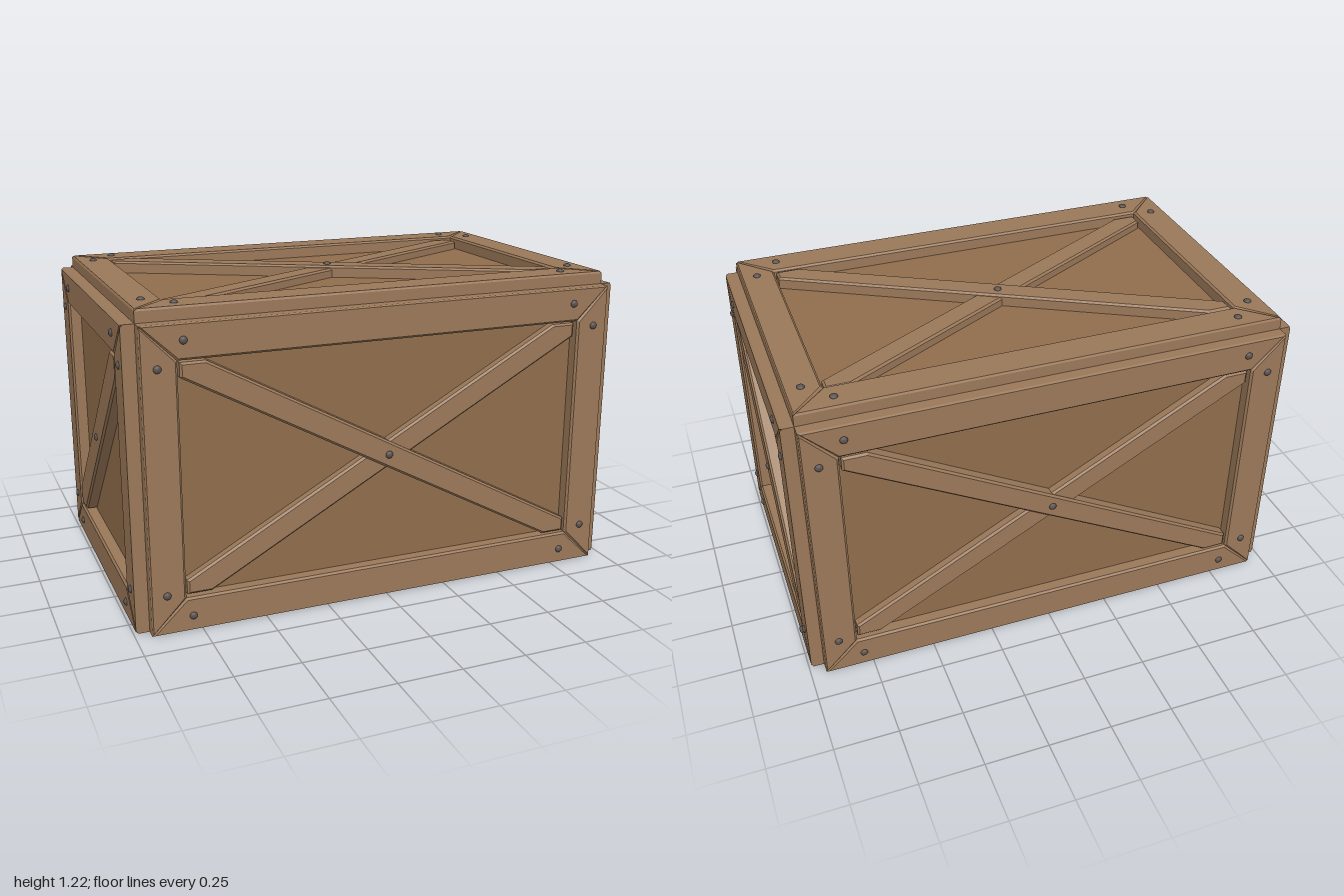
import * as THREE from 'three';

const frameMat = new THREE.MeshStandardMaterial({ color: 0x9a7859 });
const panelMat = new THREE.MeshStandardMaterial({ color: 0x906d4c });
const boltMat = new THREE.MeshStandardMaterial({ color: 0x5a5350 });

const W = 0.94, H = 0.58, D = 0.58; // half sizes of the inner box
const BOARD = 0.132, THICK = 0.05, BEVEL = 0.008;

// Bevelled board from an outline; it rises from z = 0 and its lower bevel sinks into the box
function board(name, points, height) {
  const shape = new THREE.Shape(points.map(([x, y]) => new THREE.Vector2(x, y)));
  const geo = new THREE.ExtrudeGeometry(shape, {
    depth: height - BEVEL, bevelThickness: BEVEL, bevelSize: BEVEL,
    bevelOffset: -BEVEL, bevelSegments: 1,
  });
  const mesh = new THREE.Mesh(geo, frameMat);
  mesh.name = name;
  return mesh;
}

// Domed bolt head
const boltGeo = new THREE.SphereGeometry(0.015, 12, 4, 0, Math.PI * 2, 0, Math.PI / 2)
  .rotateX(Math.PI / 2).scale(1, 1, 0.66);
function bolt(x, y, z) {
  const mesh = new THREE.Mesh(boltGeo, boltMat);
  mesh.name = 'bolt';
  mesh.position.set(x, y, z);
  return mesh;
}

// Diagonal brace from top left to bottom right, its ends cut square to the frame
function brace(w, h, cutX, cutY, height, flip) {
  const x = w - 0.14, y = h - 0.14;
  const points = [
    [-x, y], [-x, y - cutY], [x - cutX, -y], [x, -y], [x, -y + cutY], [-x + cutX, y],
  ];
  return board('brace', points.map(([px, py]) => [px * flip, py]), height);
}

// One framed side: mitred boards, corner bolts, braces and centre bolt
function framedSide(name, w, h, { cross = false, flip = 1 } = {}) {
  const side = new THREE.Group();
  side.name = name;
  const iw = w - BOARD, ih = h - BOARD;
  for (const s of [-1, 1]) {
    side.add(board('rail', [[-w, s * h], [w, s * h], [iw, s * ih], [-iw, s * ih]], THICK));
    side.add(board('post', [[s * w, -h], [s * w, h], [s * iw, ih], [s * iw, -ih]], THICK));
    for (const t of [-1, 1]) {
      side.add(bolt(s * (w - 0.155), t * (h - 0.06), THICK));
      side.add(bolt(s * (w - 0.06), t * (h - 0.155), THICK));
    }
  }
  const top = 0.047;
  if (cross) {
    side.add(brace(w, h, 0.095, 0.055, top, 1));
    side.add(brace(w, h, 0.095, 0.055, 0.037, -1));
  } else {
    side.add(brace(w, h, 0.085, 0.085, top, flip));
  }
  side.add(bolt(0, 0, top));
  return side;
}

export function createModel() {
  const crate = new THREE.Group();
  crate.name = 'crate';

  // Plain inner box, seen as the recessed panels and the bottom
  const box = new THREE.Mesh(new THREE.BoxGeometry(2 * W, 2 * H, 2 * D), panelMat);
  box.name = 'panels';
  box.position.y = H;
  crate.add(box);

  const front = framedSide('front', W, H, { cross: true });
  front.position.set(0, H, D);

  const back = framedSide('back', W, H, { cross: true });
  back.position.set(0, H, -D);
  back.rotation.y = Math.PI;

  const lid = framedSide('lid', W, D, { cross: true });
  lid.position.set(0, 2 * H, 0);
  lid.rotation.x = -Math.PI / 2;

  // The two ends mirror each other
  const ends = [1, -1].map((s) => {
    const end = framedSide(s > 0 ? 'leftEnd' : 'rightEnd', D, H, { flip: s });
    end.position.set(s * W, H, 0);
    end.rotation.y = s * Math.PI / 2;
    return end;
  });

  crate.add(front, back, lid, ...ends);
  return crate;
}
